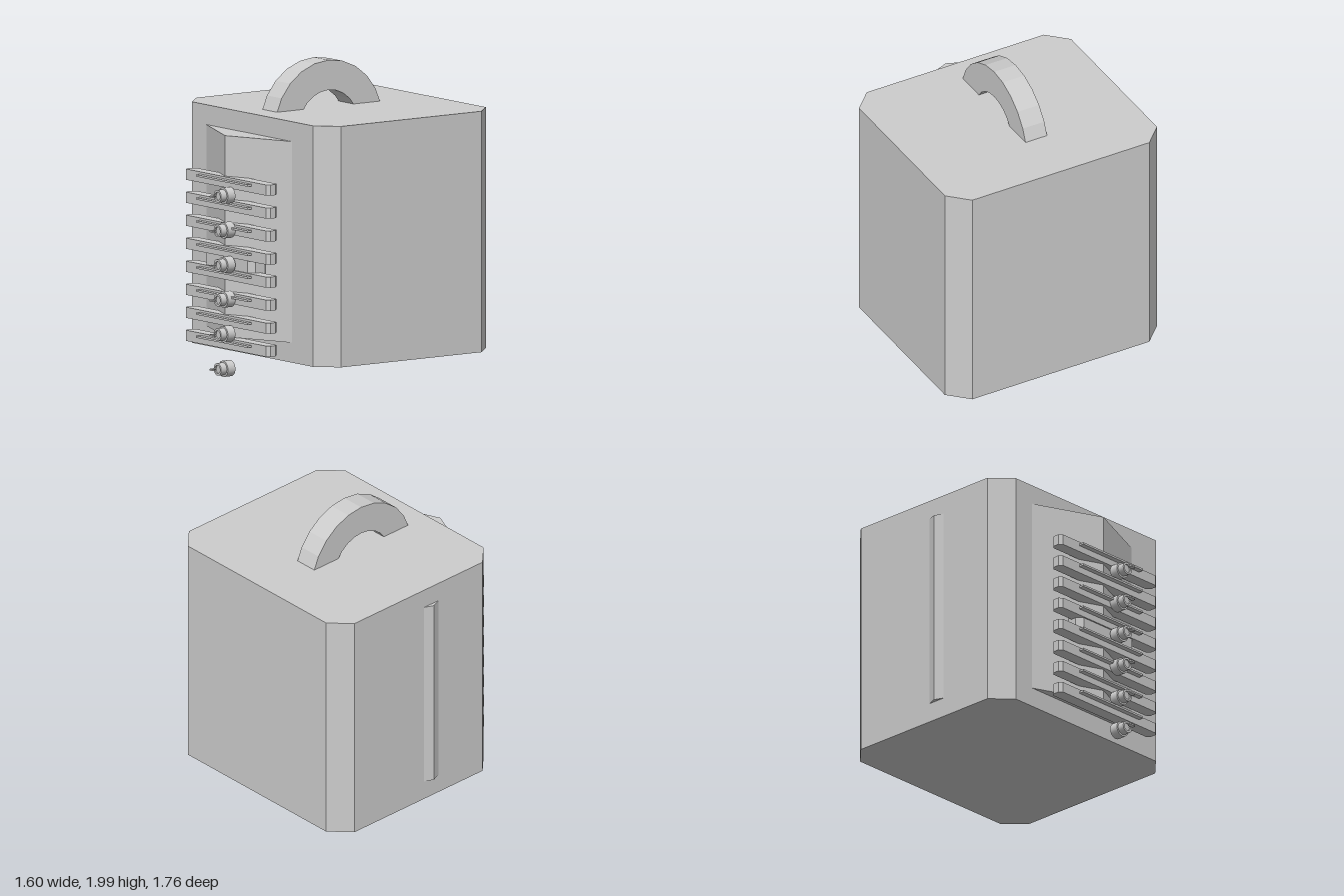
import * as THREE from 'three';

const grey = new THREE.MeshStandardMaterial({ color: 0xcccccc });
grey.name = 'plain grey';

function add(parent, name, geometry, x = 0, y = 0, z = 0) {
  const mesh = new THREE.Mesh(geometry, grey);
  mesh.name = name;
  mesh.position.set(x, y, z);
  parent.add(mesh);
  return mesh;
}

// Upright block with its four vertical edges cut off
function chamferedBlock(x0, x1, y0, y1, z0, z1, c) {
  const shape = new THREE.Shape([
    [x0 + c, z0], [x1 - c, z0], [x1, z0 + c], [x1, z1 - c],
    [x1 - c, z1], [x0 + c, z1], [x0, z1 - c], [x0, z0 + c],
  ].map(([x, z]) => new THREE.Vector2(x, z)));
  return new THREE.ExtrudeGeometry(shape, { depth: y1 - y0, bevelEnabled: false })
    .rotateX(Math.PI / 2)
    .translate(0, y1, 0);
}

// Half ring, faceted every 15 degrees, running front to back
function handleGeometry(outer, inner, width) {
  const arc = (r, i) => new THREE.Vector2(r * Math.cos(i * Math.PI / 12), r * Math.sin(i * Math.PI / 12));
  const points = [];
  for (let i = 0; i <= 12; i++) points.push(arc(outer, i));
  for (let i = 12; i >= 0; i--) points.push(arc(inner, i));
  return new THREE.ExtrudeGeometry(new THREE.Shape(points), { depth: width, bevelEnabled: false })
    .translate(0, 0, -width / 2)
    .rotateY(Math.PI / 2);
}

export function createModel() {
  const model = new THREE.Group();
  model.name = 'cabinet';

  add(model, 'body', chamferedBlock(-0.775, 0.8, 0.12, 1.695, -0.88, 0.509, 0.13));
  add(model, 'carryHandle', handleGeometry(0.435, 0.24, 0.16), -0.028, 1.565, -0.073);

  // Eight-sided drum whose corners break through the front and left walls
  const drum = new THREE.CylinderGeometry(0.776, 0.776, 1.315, 8).toNonIndexed();
  drum.computeVertexNormals();
  add(model, 'innerDrum', drum, -0.025, 0.9075, -0.074);

  add(model, 'centreBlock', chamferedBlock(-0.255, 0.27, 0.645, 0.83, 0.56, 0.71, 0.037));

  // Stack of front bars, each with a thin slat
  const bars = new THREE.Group();
  bars.name = 'frontBars';
  model.add(bars);
  const barGeometry = chamferedBlock(-0.445, 0.465, -0.035, 0.035, 0.635, 0.72, 0.022);
  const slatGeometry = new THREE.BoxGeometry(0.56, 0.013, 0.055);
  for (let i = 0; i < 8; i++) {
    const y = 0.212 + i * 0.1505;
    add(bars, 'bar', barGeometry, 0, y, 0);
    add(bars, 'slat', slatGeometry, 0.01, y + 0.014, 0.7275);
  }

  // Column of stepped knobs, each with a floating key plate in front
  const knobProfile = [
    [0, 0], [0.053, 0], [0.053, 0.06], [0.041, 0.06],
    [0.041, 0.105], [0.027, 0.105], [0.027, 0.095], [0, 0.095],
  ];
  // Separate lathe strips keep the steps sharp
  const keyGeometry = chamferedBlock(-0.025, 0.025, -0.005, 0.005, -0.015, 0.015, 0.008);
  for (let i = 0; i < 6; i++) {
    const knob = new THREE.Group();
    knob.name = 'knob';
    knob.position.set(0.066, 0.059 + i * 0.2262, 0.725);
    model.add(knob);
    for (let j = 0; j < knobProfile.length - 1; j++) {
      const strip = [knobProfile[j], knobProfile[j + 1]].map(([r, h]) => new THREE.Vector2(r, h));
      add(knob, 'knobSurface', new THREE.LatheGeometry(strip, 24).rotateX(Math.PI / 2));
    }
    add(knob, 'keyPlate', keyGeometry, 0, 0, 0.14);
  }
  return model;
}
